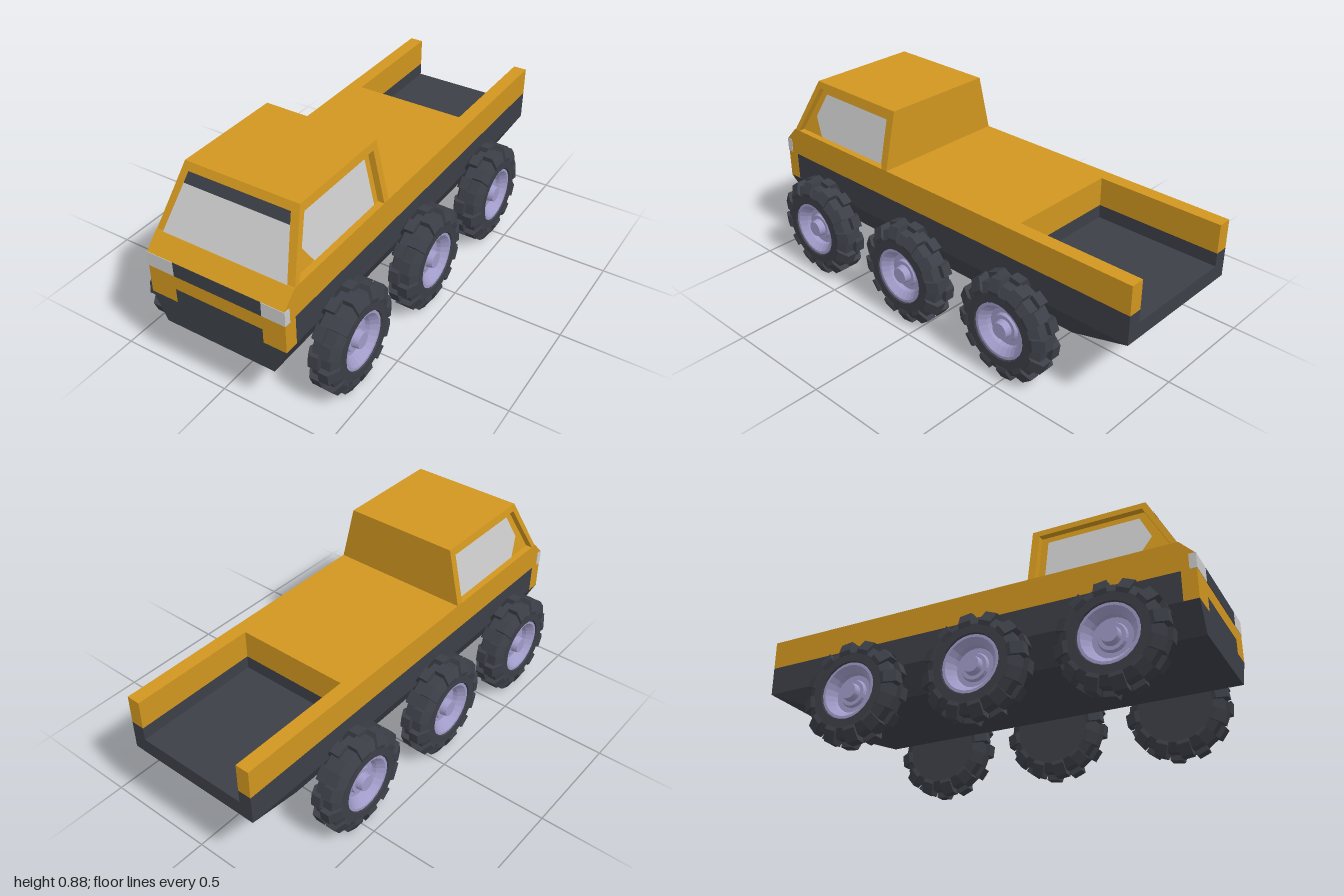
import * as THREE from 'three';
import { ConvexGeometry } from 'three/addons/geometries/ConvexGeometry.js';

const paint = (color, extra = {}) => new THREE.MeshStandardMaterial({ color, ...extra });
const YELLOW = paint(0xd0961f);
const DARK = paint(0x3c3f47);
const TYRE = paint(0x3c3f47, { flatShading: true });
const RIM = paint(0xa09bc8, { flatShading: true });
const GLASS = paint(0xcccccc, { side: THREE.DoubleSide });
const SHADE = paint(0x3c3f47, { side: THREE.DoubleSide });

function add(parent, name, geometry, material) {
  const mesh = new THREE.Mesh(geometry, material);
  mesh.name = name;
  parent.add(mesh);
  return mesh;
}

// Box given by its limits on each axis
function box(x0, x1, y0, y1, z0, z1) {
  return new THREE.BoxGeometry(x1 - x0, y1 - y0, z1 - z0)
    .translate((x0 + x1) / 2, (y0 + y1) / 2, (z0 + z1) / 2);
}

const polygon = (pts) => new THREE.Shape(pts.map(([a, b]) => new THREE.Vector2(a, b)));

// Side outline in (z, y), extruded from x0 to x1
function prism(pts, x0, x1) {
  return new THREE.ExtrudeGeometry(polygon(pts), { depth: x1 - x0, bevelEnabled: false })
    .rotateY(-Math.PI / 2).translate(x1, 0, 0);
}

// Symmetric solid spanned by [half width, y, z] corners
function hull(corners) {
  return new ConvexGeometry(corners.flatMap(([x, y, z]) =>
    [new THREE.Vector3(x, y, z), new THREE.Vector3(-x, y, z)]));
}

// Moves every vertex by a rule
function remap(geometry, rule) {
  const p = geometry.attributes.position;
  for (let i = 0; i < p.count; i++) p.setXYZ(i, ...rule(p.getX(i), p.getY(i), p.getZ(i)));
  geometry.computeVertexNormals();
  return geometry;
}

// Cab surfaces lean inward as they rise
const sideLean = (y) => (y - 0.62) * 0.06 / 0.26;
const screenZ = (y) => 0.93 - (y - 0.62) * 0.5;

function buildChassis(parent) {
  const g = new THREE.Group();
  g.name = 'chassis';
  parent.add(g);
  add(g, 'underbody', hull([
    [0.26, 0.235, 0.998], [0.26, 0.235, -0.7], [0.322, 0.36, 0.998], [0.322, 0.36, -1],
  ]), DARK);
  add(g, 'bedFloor', box(-0.322, 0.322, 0.36, 0.43, -1, 0.935), DARK);
  add(g, 'lowerBody', box(-0.322, 0.322, 0.43, 0.49, -0.42, 0.935), DARK);
  add(g, 'deck', box(-0.322, 0.322, 0.49, 0.62, -0.42, 0.935), YELLOW);
  for (const s of [-1, 1]) {
    const [a, b] = s > 0 ? [0.26, 0.322] : [-0.322, -0.26];
    add(g, 'lowerBedWall', box(a, b, 0.43, 0.49, -1, -0.42), DARK);
    add(g, 'bedRail', box(a, b, 0.49, 0.62, -1, -0.42), YELLOW);
  }
}

function buildNose(parent) {
  const g = new THREE.Group();
  g.name = 'nose';
  parent.add(g);
  add(g, 'nosePanel', prism(
    [[0.935, 0.425], [0.998, 0.425], [0.998, 0.555], [0.935, 0.62]], -0.322, 0.322), YELLOW);
  add(g, 'lowerGrille', box(-0.195, 0.217, 0.36, 0.425, 0.935, 0.998), DARK);
  add(g, 'grille', box(-0.195, 0.217, 0.49, 0.555, 0.97, 1), DARK);
  for (const [a, b] of [[-0.322, -0.195], [0.217, 0.322]]) {
    const out = 0.002 * Math.sign(a);
    add(g, 'bumperCorner', box(a, b, 0.36, 0.425, 0.935, 0.998), YELLOW);
    add(g, 'headlight', box(a + Math.min(out, 0), b + Math.max(out, 0), 0.49, 0.555, 0.97, 1), GLASS);
  }
}

function buildCab(parent) {
  const g = new THREE.Group();
  g.name = 'cab';
  parent.add(g);
  add(g, 'cabShell', hull([
    [0.292, 0.62, 0.93], [0.292, 0.62, 0.295], [0.232, 0.88, 0.8], [0.232, 0.88, 0.295],
  ]), YELLOW);

  // Windscreen with a dark band along its top
  const screen = (pts) => remap(new THREE.ShapeGeometry(polygon(pts)),
    (x, y) => [x, y, screenZ(y) + 0.003]);
  add(g, 'windscreen', screen([[-0.29, 0.62], [0.29, 0.62], [0.244, 0.807], [-0.244, 0.807]]), GLASS);
  add(g, 'sunBand', screen([[-0.244, 0.807], [0.244, 0.807], [0.234, 0.85], [-0.234, 0.85]]), SHADE);

  // Raised door frames around the recessed side windows
  const frame = [[0.93, 0.62], [0.8, 0.88], [0.295, 0.88], [0.295, 0.62],
    [0.328, 0.62], [0.328, 0.85], [0.785, 0.85], [0.905, 0.62]];
  const pane = [[0.77, 0.622], [0.82, 0.705], [0.765, 0.82], [0.36, 0.82], [0.36, 0.622]];
  for (const s of [-1, 1]) {
    const ring = s > 0 ? prism(frame, 0.29, 0.322) : prism(frame, -0.322, -0.29);
    add(g, 'sideFrame', remap(ring, (x, y, z) => [x - s * sideLean(y), y, z]), YELLOW);
    add(g, 'sideWindow', remap(new THREE.ShapeGeometry(polygon(pane)),
      (z, y) => [s * (0.295 - sideLean(y)), y, z]), GLASS);
  }
}

function lathe(pts, segments) {
  return new THREE.LatheGeometry(pts.map(([r, h]) => new THREE.Vector2(r, h)), segments)
    .rotateZ(-Math.PI / 2);
}

// Wheel with its outer face towards +x
function buildWheel() {
  const wheel = new THREE.Group();
  wheel.name = 'wheel';
  add(wheel, 'tyre', lathe([[0, -0.064], [0.17, -0.064], [0.208, -0.042], [0.208, 0.042],
    [0.17, 0.064], [0.13, 0.064], [0.122, 0.05], [0.122, 0.02]], 24), TYRE);
  add(wheel, 'rim', lathe([[0.126, 0.03], [0.126, 0.058], [0.114, 0.058], [0.09, 0.03],
    [0.084, 0.012], [0.062, 0.012], [0.056, 0.026], [0.04, 0.026], [0.035, 0.056], [0, 0.056]], 24), RIM);

  // Two staggered rows of tread blocks
  const count = 12;
  const width = 0.054;
  for (const side of [-1, 1]) {
    const section = polygon([[0.19, 0], [0.229, 0], [0.229, side * 0.045],
      [0.182, side * 0.07], [0.164, side * 0.066], [0.164, side * 0.05]]);
    const block = new THREE.ExtrudeGeometry(section, { depth: width, bevelEnabled: false })
      .translate(0, 0, -width / 2);
    for (let i = 0; i < count; i++) {
      const angle = (i + (side > 0 ? 0 : 0.5)) * Math.PI * 2 / count + 0.13;
      add(wheel, 'treadBlock', block.clone().rotateY(angle).rotateZ(-Math.PI / 2), TYRE);
    }
  }
  return wheel;
}

export function createModel() {
  const model = new THREE.Group();
  model.name = 'sixWheelTruck';
  buildChassis(model);
  buildNose(model);
  buildCab(model);

  // Three axles
  const wheel = buildWheel();
  for (const z of [0.68, 0.1, -0.48]) {
    for (const s of [-1, 1]) {
      const w = wheel.clone();
      w.position.set(s * 0.391, 0.231, z);
      if (s < 0) w.rotation.y = Math.PI;
      model.add(w);
    }
  }
  return model;
}
